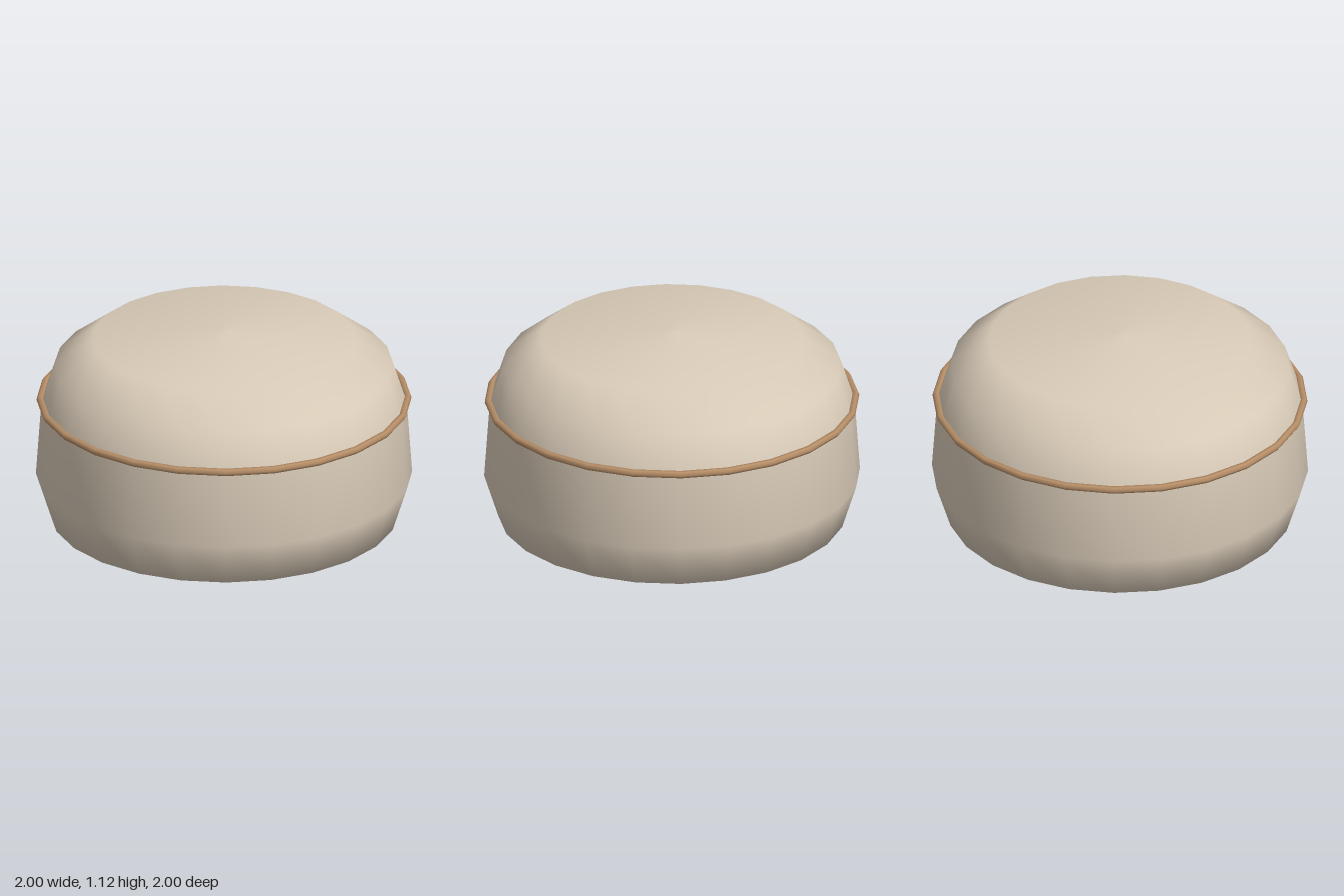
import * as THREE from 'three';

const SEGMENTS = 24;

// Turns a list of [radius, height] pairs around the y axis.
function turned(name, profile, material) {
  const points = profile.map(([r, y]) => new THREE.Vector2(r, y));
  const mesh = new THREE.Mesh(new THREE.LatheGeometry(points, SEGMENTS), material);
  mesh.name = name;
  return mesh;
}

export function createModel() {
  const group = new THREE.Group();
  group.name = 'roundCushion';
  const fabric = new THREE.MeshStandardMaterial({ color: 0xd9cbb8, side: THREE.DoubleSide });
  const piping = new THREE.MeshStandardMaterial({ color: 0xb88f68 });

  // Flat base and bulging side, up to the seam
  group.add(turned('base', [
    [0, 0], [0.72, 0.003], [0.925, 0.065], [1, 0.3], [0.97, 0.725],
  ], fabric));

  // Softly domed top
  group.add(turned('cushionTop', [
    [0.965, 0.725], [0.9, 0.925], [0.698, 1.077], [0, 1.123],
  ], fabric));

  // Piping around the seam
  const trim = new THREE.Mesh(new THREE.TorusGeometry(0.977, 0.02, 6, SEGMENTS), piping);
  trim.name = 'seamPiping';
  trim.rotation.x = Math.PI / 2;
  trim.position.y = 0.727;
  group.add(trim);

  return group;
}
